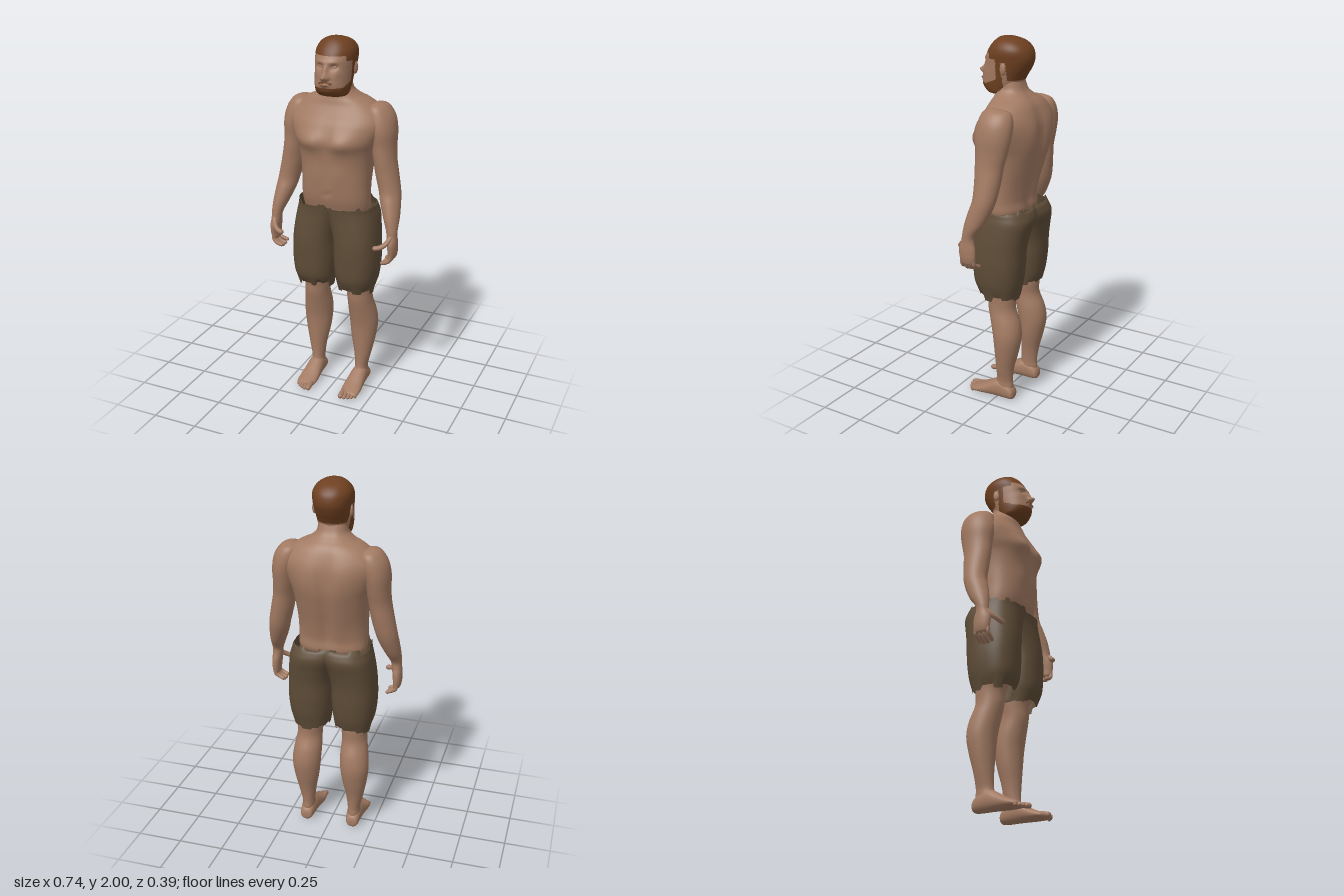
import * as THREE from 'three';

const mat = (name, color, side = THREE.FrontSide) => {
  const m = new THREE.MeshStandardMaterial({ color, side });
  m.name = name;
  return m;
};

// Smooth interpolation of measured rows
function refine(rows, k) {
  const out = [];
  const at = i => rows[Math.min(rows.length - 1, Math.max(0, i))];
  for (let i = 0; i < rows.length - 1; i++) {
    for (let s = 0; s < k; s++) {
      const t = s / k, a = at(i - 1), b = at(i), c = at(i + 1), d = at(i + 2);
      out.push(b.map((p, q) => 0.5 * (2 * p + (c[q] - a[q]) * t
        + (2 * a[q] - 5 * p + 4 * c[q] - d[q]) * t * t
        + (3 * p - a[q] - 3 * c[q] + d[q]) * t * t * t)));
    }
  }
  out.push(rows[rows.length - 1]);
  return out;
}

// Skin over rows [y, xMin, xMax, zBack, zFront]; shape() moves points, pick() chooses the material
function loft(rows, { n = 40, k = 6, e = 1, open = false, shape = null, pick = null } = {}) {
  const rings = refine([...rows].sort((a, b) => a[0] - b[0]), k);
  const pos = [], buckets = [[], [], []], last = rings.length - 1;
  const pw = v => Math.sign(v) * Math.pow(Math.abs(v), e);
  rings.forEach(([y, x0, x1, z0, z1], i) => {
    for (let j = 0; j < n; j++) {
      const a = j / n * Math.PI * 2;
      const p = new THREE.Vector3((x0 + x1) / 2 + (x1 - x0) / 2 * pw(Math.cos(a)), y,
        (z0 + z1) / 2 + (z1 - z0) / 2 * pw(Math.sin(a)));
      if (shape) shape(p, Math.sin(a), i / last, j);
      pos.push(p.x, p.y, p.z);
    }
  });
  const tri = (...t) => {
    const c = [0, 1, 2].map(q => (pos[t[0] * 3 + q] + pos[t[1] * 3 + q] + pos[t[2] * 3 + q]) / 3);
    buckets[pick ? pick(...c) : 0].push(...t);
  };
  for (let i = 0; i < last; i++) for (let j = 0; j < n; j++) {
    const a = i * n + j, b = i * n + (j + 1) % n;
    tri(a, a + n, b);
    tri(b, a + n, b + n);
  }
  if (!open) for (const i of [0, last]) {
    const [y, x0, x1, z0, z1] = rings[i], c = pos.length / 3;
    pos.push((x0 + x1) / 2, y, (z0 + z1) / 2);
    for (let j = 0; j < n; j++) {
      const a = i * n + j, b = i * n + (j + 1) % n;
      if (i === 0) tri(c, a, b); else tri(c, b, a);
    }
  }
  const g = new THREE.BufferGeometry();
  g.setAttribute('position', new THREE.Float32BufferAttribute(pos, 3));
  g.setIndex(buckets.flat());
  if (pick) {
    let start = 0;
    buckets.forEach((b, m) => { g.addGroup(start, b.length, m); start += b.length; });
  }
  g.computeVertexNormals();
  return g;
}

// Soft bumps [front/back sign, x, y, widthX, widthY, height], mirrored in x
const bumps = list => (p, sin) => {
  let dz = 0;
  for (const [s, x, y, sx, sy, h] of list) {
    const w = Math.min(1, Math.max(0, s * sin * 2));
    dz += s * h * w * Math.exp(-(((Math.abs(p.x) - x) / sx) ** 2) - ((p.y - y) / sy) ** 2);
  }
  p.z += dz;
};
const sym = rows => rows.map(([y, w, zb, zf]) => [y, -w, w, zb, zf]);
const flip = (rows, s) => rows.map(([y, a, b, zb, zf]) => s > 0 ? [y, a, b, zb, zf] : [y, -b, -a, zb, zf]);

function random(seed) {
  return () => (seed = (seed * 16807) % 2147483647) / 2147483647;
}

const TORSO = [[1.02, .1, -.05, .04], [1.06, .165, -.09, .095], [1.1, .185, -.115, .112], [1.16, .188, -.113, .13],
  [1.24, .188, -.13, .14], [1.34, .195, -.162, .146], [1.42, .21, -.182, .155], [1.48, .235, -.187, .16],
  [1.55, .26, -.184, .14], [1.6, .255, -.174, .112], [1.65, .21, -.155, .085], [1.68, .165, -.135, .075],
  [1.7, .12, -.115, .07], [1.73, .085, -.088, .069], [1.77, .076, -.072, .068], [1.82, .07, -.06, .06]];
const HEAD = [[1.704, .05, .02, .08], [1.714, .078, -.02, .122], [1.75, .088, -.055, .153], [1.8, .093, -.085, .153],
  [1.84, .097, -.11, .145], [1.88, .101, -.127, .139], [1.92, .104, -.125, .122], [1.95, .096, -.11, .104],
  [1.977, .074, -.078, .08], [1.994, .04, -.03, .055], [2, .005, .01, .02]];
const ARM = [[1.668, .205, .235, -.07, -.01], [1.65, .16, .268, -.12, .03], [1.6, .15, .301, -.14, .05],
  [1.53, .17, .315, -.14, .06], [1.45, .188, .315, -.125, .052], [1.38, .2, .32, -.108, .05],
  [1.3, .212, .335, -.098, .045], [1.21, .235, .352, -.083, .045], [1.15, .252, .36, -.063, .062],
  [1.08, .28, .366, -.028, .08], [1.02, .305, .367, .016, .088], [.985, .312, .367, .02, .092],
  [.945, .317, .37, .01, .106], [.9, .322, .369, .008, .102], [.868, .325, .362, .015, .094], [.86, .335, .352, .03, .08]];
const LEG = [[.85, .03, .22, -.11, .11], [.7, .045, .21, -.1, .09], [.62, .053, .2, -.1, .062], [.55, .06, .2, -.1, .054],
  [.47, .057, .213, -.13, .035], [.39, .06, .22, -.14, .018], [.3, .07, .21, -.125, .01], [.2, .09, .19, -.1, .005],
  [.12, .1, .172, -.09, .006], [.08, .1, .172, -.093, .02], [.04, .105, .168, -.09, .02]];
// Foot rows run along z: [z, xMin, xMax, -top, -sole]
const FOOT = [[-.105, .12, .155, -.045, -.018], [-.095, .104, .17, -.07, -.004], [-.06, .096, .176, -.1, 0], [-.01, .091, .18, -.112, 0],
  [.04, .086, .184, -.088, 0], [.09, .081, .189, -.06, 0], [.13, .083, .189, -.042, -.002], [.155, .09, .182, -.03, -.005], [.16, .1, .17, -.022, -.01]];
const SHORTS = [[.635, .02, .215, -.112, .1], [.7, .008, .235, -.13, .13], [.8, 0, .245, -.142, .138], [.9, -.002, .242, -.148, .14],
  [.98, -.02, .235, -.162, .135], [1.05, -.05, .225, -.177, .13], [1.09, -.07, .215, -.168, .13], [1.13, -.08, .208, -.147, .133]];

export function createModel() {
  const root = new THREE.Group();
  const skin = mat('skin', 0xa27a62), hair = mat('hair', 0x6e4020);
  const cloth = mat('cloth', 0x5e4c37, THREE.DoubleSide), lip = mat('lips', 0x80543f);
  const add = (name, geo, material, parent = root) => {
    const m = new THREE.Mesh(geo, material);
    m.name = name;
    parent.add(m);
    return m;
  };
  const blob = (name, x, y, z, rx, ry, rz, material, parent = root) => {
    const m = add(name, new THREE.SphereGeometry(1, 18, 12), material, parent);
    m.position.set(x, y, z);
    m.scale.set(rx, ry, rz);
    return m;
  };
  // Finger or toe: bent tube with a round tip
  const digit = (name, pts, r, s, parent) => {
    const v = pts.map(([x, y, z]) => new THREE.Vector3(x * s, y, z));
    add(name, new THREE.TubeGeometry(new THREE.CatmullRomCurve3(v), 10, r, 10), skin, parent);
    const tip = v[v.length - 1];
    blob(name + 'Tip', tip.x, tip.y, tip.z, r, r, r, skin, parent);
  };

  // Torso and neck with chest, shoulder blades, spine and navel
  add('torso', loft(sym(TORSO), { n: 64, e: .86, shape: bumps([
    [1, .09, 1.475, .075, .05, .024], [1, 0, 1.48, .018, .1, -.008], [1, 0, 1.28, .015, .1, -.005],
    [1, 0, 1.19, .012, .012, -.008], [1, .06, 1.3, .04, .05, .004], [-1, .095, 1.52, .07, .1, .011],
    [-1, 0, 1.36, .028, .26, -.02], [-1, .06, 1.22, .04, .1, .006]]) }), skin);

  // Head: face modelled by soft bumps, hair and beard as colour regions
  const hairy = (x, y, z) => {
    if (z > .08) { if (y > 1.916) return 1; }
    else if (z > .035) { if (y > 1.888) return 1; }
    else if (z > .005) { if (y > 1.75) return 1; }
    else if (y > (z > -.025 ? 1.875 : 1.785)) return 1;
    if (z > 0 && y < 1.762 + Math.max(0, .1 - z) * .4) return 1;
    return z > .12 && Math.abs(x) < .036 && Math.abs(y - 1.792 + Math.abs(x) * .25) < .005 ? 1 : 0;
  };
  add('head', loft(sym(HEAD), { n: 120, k: 9, e: .92, pick: hairy, shape: bumps([
    [1, 0, 1.815, .016, .016, .034], [1, 0, 1.845, .012, .026, .016], [1, .016, 1.81, .008, .009, .008],
    [1, .038, 1.863, .02, .013, -.016], [1, .03, 1.888, .03, .009, .005], [1, 0, 1.776, .026, .013, .015],
    [1, 0, 1.74, .03, .015, .006], [1, .06, 1.83, .02, .018, .004]]) }), [skin, hair]);
  blob('mouth', 0, 1.777, .166, .022, .0055, .006, lip);

  for (const s of [1, -1]) {
    const side = s > 0 ? 'left' : 'right';
    blob(side + 'Eye', s * .037, 1.863, .116, .014, .009, .009, skin);
    blob(side + 'Ear', s * .096, 1.843, -.008, .011, .032, .019, skin).rotation.y = -s * .3;

    // Arm, hand and fingers
    const arm = new THREE.Group();
    arm.name = side + 'Arm';
    root.add(arm);
    add('armAndPalm', loft(flip(ARM, s), { n: 36 }), skin, arm);
    [.02, .044, .068, .091].forEach((z, i) => {
      const drop = [.012, .002, 0, .006][i];
      digit('finger', [[.345, .89, z], [.343, .862, z], [.325, .838 + drop, z + .002], [.299, .828 + drop, z - .002]], .0105, s, arm);
    });
    digit('thumb', [[.342, .985, .08], [.325, .955, .108], [.3, .938, .128], [.275, .932, .135]], .0135, s, arm);

    // Leg, foot and toes
    const leg = new THREE.Group();
    leg.name = side + 'Leg';
    root.add(leg);
    add('legAndAnkle', loft(flip(LEG, s), { n: 40 }), skin, leg);
    add('foot', loft(flip(FOOT, s), { n: 36, e: .9 }).rotateX(Math.PI / 2), skin, leg);
    [[.101, .183, .0145], [.123, .184, .0105], [.143, .175, .01], [.16, .165, .0095], [.176, .15, .009]].forEach(([x, z, r]) =>
      digit('toe', [[x, .024, .12], [x, .022, (z + .12) / 2], [x, r + .001, z]], r, s, leg));

    // Ragged shorts leg with torn hem and waist
    const rnd = random(s > 0 ? 4711 : 913), n = 96, low = [], top = [];
    while (low.length < n) {
      const a = (rnd() - .55) * .042 - (s > 0 ? .006 : 0), b = -rnd() * .026, len = 3 + Math.floor(rnd() * 6);
      for (let q = 0; q < len; q++) { low.push(a); top.push(b); }
    }
    add(side + 'ShortsLeg', loft(flip(SHORTS, s), { n, e: .82, open: true, shape: (p, sin, t, j) => {
      p.y += low[j] * Math.max(0, 1 - t / .1) + top[j] * Math.max(0, 1 - (1 - t) / .1);
    } }), cloth);
  }
  return root;
}
